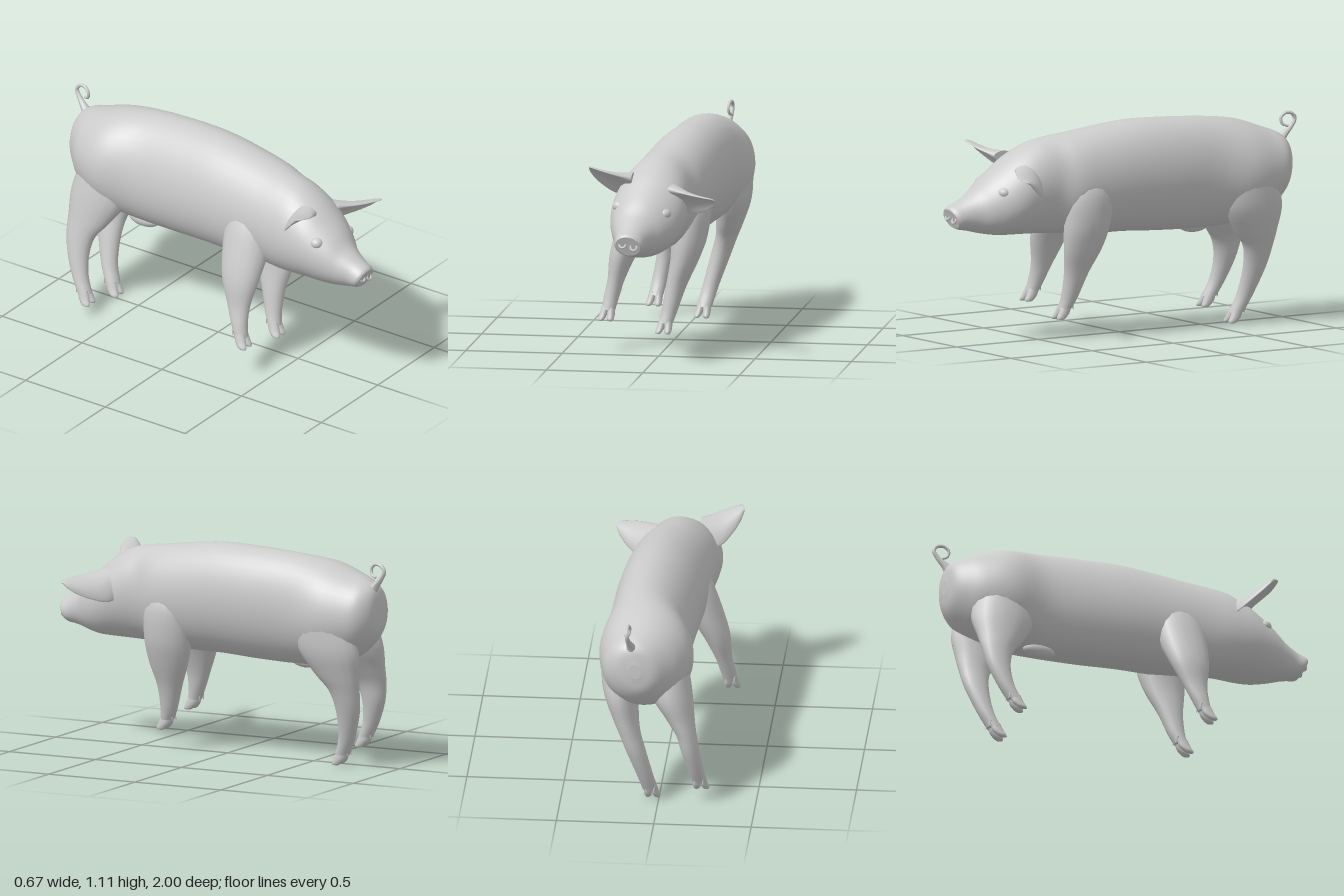
import * as THREE from 'three';

const V3 = (x, y, z) => new THREE.Vector3(x, y, z);
const material = new THREE.MeshStandardMaterial({ color: 0xcccccc });

function part(name, geometry) {
  const mesh = new THREE.Mesh(geometry, material);
  mesh.name = name;
  return mesh;
}

// Skin a list of rings (arrays of Vector3) and close both ends with flat caps
function skin(rings) {
  const n = rings[0].length, pos = [], idx = [];
  const put = p => pos.push(p.x, p.y, p.z) / 3 - 1;
  rings.forEach(r => r.forEach(put));
  for (let i = 0; i < rings.length - 1; i++) {
    for (let j = 0; j < n; j++) {
      const a = i * n + j, b = i * n + (j + 1) % n;
      idx.push(a, b, a + n, b, b + n, a + n);
    }
  }
  [rings[0], rings[rings.length - 1]].forEach((r, end) => {
    const mid = r.reduce((s, p) => s.add(p), V3(0, 0, 0)).divideScalar(n);
    const c = put(mid), first = pos.length / 3;
    r.forEach(put);
    for (let j = 0; j < n; j++) {
      const a = first + j, b = first + (j + 1) % n;
      if (end) idx.push(c, a, b); else idx.push(c, b, a);
    }
  });
  const g = new THREE.BufferGeometry();
  g.setAttribute('position', new THREE.Float32BufferAttribute(pos, 3));
  g.setIndex(idx);
  g.computeVertexNormals();
  return g;
}

// Smooth loft through sections [x, y, z, r1, r2]; point(c, r, angle) places each vertex
function loft(sections, steps, sides, point) {
  const centre = new THREE.CatmullRomCurve3(sections.map(s => V3(s[0], s[1], s[2])), false, 'catmullrom');
  const radius = new THREE.CatmullRomCurve3(sections.map(s => V3(s[3], s[4], 0)), false, 'catmullrom');
  const count = (sections.length - 1) * steps, rings = [];
  for (let i = 0; i <= count; i++) {
    const c = centre.getPoint(i / count), r = radius.getPoint(i / count);
    rings.push(Array.from({ length: sides }, (_, j) => point(c, r, j / sides * Math.PI * 2)));
  }
  return skin(rings);
}

// Trunk and head in one skin, leaning slightly towards +x
const ROLL = 0.2;
const trunk = [
  [0.1, 0.83, -0.945, 0.03, 0.04], [0.1, 0.83, -0.93, 0.1, 0.12],
  [0.1, 0.815, -0.88, 0.16, 0.175], [0.08, 0.8, -0.8, 0.205, 0.22],
  [0.065, 0.8, -0.65, 0.24, 0.27], [0.065, 0.805, -0.45, 0.205, 0.295],
  [0.055, 0.815, -0.2, 0.205, 0.3], [0.04, 0.82, 0, 0.207, 0.295],
  [0.025, 0.81, 0.2, 0.205, 0.283], [0.01, 0.805, 0.35, 0.2, 0.265],
  [-0.015, 0.8, 0.45, 0.185, 0.255], [-0.025, 0.79, 0.55, 0.188, 0.24],
  [-0.03, 0.765, 0.65, 0.19, 0.21], [-0.04, 0.735, 0.73, 0.172, 0.177],
  [-0.055, 0.71, 0.8, 0.14, 0.143], [-0.07, 0.685, 0.86, 0.105, 0.105],
  [-0.076, 0.666, 0.92, 0.08, 0.076], [-0.08, 0.658, 0.965, 0.075, 0.06],
  [-0.08, 0.655, 0.98, 0.064, 0.05],
];
function trunkPoint(c, r, a) {
  const u = r.x * Math.cos(a), v = r.y * Math.sin(a);
  const x = u * Math.cos(ROLL) + v * Math.sin(ROLL);
  const y = v * Math.cos(ROLL) - u * Math.sin(ROLL);
  const shear = 0.4 * THREE.MathUtils.smoothstep(c.z, 0.84, 0.97);
  return V3(c.x + x, c.y + y, c.z + shear * y);
}

// Legs: centre line from pastern to shoulder or hip, half-widths across x and z
const legs = {
  frontRightLeg: [
    [-0.285, 0.215, 0.345, 0.036, 0.036], [-0.272, 0.28, 0.325, 0.04, 0.046],
    [-0.25, 0.37, 0.305, 0.045, 0.066], [-0.215, 0.5, 0.29, 0.07, 0.105],
    [-0.15, 0.65, 0.28, 0.095, 0.13], [-0.09, 0.8, 0.27, 0.1, 0.13], [-0.05, 0.92, 0.26, 0.06, 0.08]],
  frontLeftLeg: [
    [0.012, 0.155, 0.345, 0.038, 0.036], [0.03, 0.22, 0.325, 0.042, 0.046],
    [0.06, 0.34, 0.305, 0.053, 0.068], [0.1, 0.47, 0.29, 0.072, 0.108],
    [0.125, 0.6, 0.28, 0.092, 0.13], [0.14, 0.76, 0.27, 0.09, 0.13], [0.13, 0.9, 0.26, 0.05, 0.08]],
  hindRightLeg: [
    [-0.208, 0.115, -0.69, 0.038, 0.038], [-0.192, 0.2, -0.73, 0.04, 0.045],
    [-0.168, 0.31, -0.758, 0.047, 0.062], [-0.145, 0.41, -0.755, 0.053, 0.085],
    [-0.11, 0.5, -0.725, 0.075, 0.125], [-0.06, 0.63, -0.69, 0.11, 0.17], [-0.02, 0.8, -0.66, 0.12, 0.16]],
  hindLeftLeg: [
    [0.042, 0.06, -0.69, 0.04, 0.038], [0.068, 0.16, -0.73, 0.042, 0.045],
    [0.11, 0.3, -0.758, 0.05, 0.065], [0.145, 0.41, -0.755, 0.056, 0.085],
    [0.17, 0.5, -0.725, 0.07, 0.125], [0.195, 0.63, -0.69, 0.09, 0.17], [0.2, 0.8, -0.66, 0.1, 0.16]],
};
const legPoint = (c, r, a) => V3(c.x + r.x * Math.sin(a), c.y, c.z + r.y * Math.cos(a));

function makeLeg(name, sections) {
  const leg = new THREE.Group();
  leg.name = name;
  leg.add(part('limb', loft(sections, 5, 18, legPoint)));
  const [x, y, z] = sections[0];
  for (const side of [-1, 1]) {
    // Cloven hoof: two toes splayed forwards and outwards
    leg.add(part('toe', loft([
      [x - 0.01 + side * 0.026, y - 0.055, z + 0.034, 0.011, 0.018],
      [x - 0.009 + side * 0.023, y - 0.045, z + 0.028, 0.018, 0.027],
      [x - 0.004 + side * 0.019, y - 0.02, z + 0.012, 0.02, 0.032],
      [x + side * 0.014, y + 0.02, z - 0.002, 0.02, 0.03]], 3, 10, legPoint)));
    const claw = part('dewclaw', new THREE.ConeGeometry(0.011, 0.04, 7));
    claw.position.set(x + side * 0.02, y + 0.012, z - 0.035);
    claw.rotation.x = Math.PI + 0.3;
    leg.add(claw);
  }
  return leg;
}

// Ears: cupped leaf shapes, thin across, opening forwards and down
function makeEar(name, base, tip, cup) {
  const along = tip.clone().sub(base);
  const wide = V3(0, 0.6, 0.8);
  const thin = along.clone().cross(wide).normalize();
  const stops = [[0, 0.085, 0.04], [0.25, 0.1, 0.026], [0.5, 0.105, 0.014],
    [0.75, 0.08, 0.009], [0.92, 0.05, 0.007], [1, 0.018, 0.004]];
  const sections = stops.map(([t, w, d]) => {
    const p = base.clone().addScaledVector(along, t).addScaledVector(wide, -0.03 * Math.sin(t * Math.PI));
    return [p.x, p.y, p.z, w, d];
  });
  return part(name, loft(sections, 4, 20, (c, r, a) => c.clone()
    .addScaledVector(wide, r.x * Math.cos(a))
    .addScaledVector(thin, r.y * Math.sin(a) + cup * r.x * Math.cos(a) ** 2)));
}

// Curly tail: tapering tube made by shrinking the rings of a TubeGeometry
function makeTail() {
  const curve = new THREE.CatmullRomCurve3([
    V3(0.12, 0.92, -0.89), V3(0.125, 0.965, -0.925), V3(0.135, 1.01, -0.965), V3(0.14, 1.05, -0.985),
    V3(0.14, 1.077, -0.965), V3(0.135, 1.08, -0.93), V3(0.13, 1.055, -0.906), V3(0.135, 1.025, -0.912),
    V3(0.145, 1.015, -0.935)]);
  const rows = 48, sides = 10;
  const g = new THREE.TubeGeometry(curve, rows, 1, sides);
  const p = g.attributes.position, v = V3(0, 0, 0);
  for (let i = 0; i < p.count; i++) {
    const t = Math.floor(i / (sides + 1)) / rows, c = curve.getPointAt(t);
    const r = 0.012 + 0.028 * Math.pow(1 - t, 5) - 0.005 * t;
    v.fromBufferAttribute(p, i).sub(c).multiplyScalar(r).add(c);
    p.setXYZ(i, v.x, v.y, v.z);
  }
  g.computeVertexNormals();
  const tail = new THREE.Group();
  tail.name = 'tail';
  const end = part('tailTip', new THREE.SphereGeometry(0.0075, 10, 8));
  end.position.copy(curve.getPoint(1));
  tail.add(part('tailCurl', g), end);
  return tail;
}

function ball(name, x, y, z, sx, sy, sz) {
  const mesh = part(name, new THREE.SphereGeometry(1, 20, 14));
  mesh.position.set(x, y, z);
  mesh.scale.set(sx, sy, sz);
  return mesh;
}

export function createModel() {
  const model = new THREE.Group();
  model.name = 'pig';
  model.add(part('bodyAndHead', loft(trunk, 4, 40, trunkPoint)));
  for (const [name, sections] of Object.entries(legs)) model.add(makeLeg(name, sections));
  model.add(makeEar('leftEar', V3(0.09, 0.88, 0.61), V3(0.335, 0.865, 0.77), 0.3));
  model.add(makeEar('rightEar', V3(-0.11, 0.93, 0.61), V3(-0.325, 1.01, 0.71), -0.3));
  model.add(makeTail());

  // Nostril rims on the snout disc
  for (const side of [-1, 1]) {
    const rim = part('nostril', new THREE.TorusGeometry(0.016, 0.006, 8, 18));
    rim.position.set(-0.08 + side * 0.029, 0.657 - side * 0.006, 0.981);
    rim.rotation.x = -0.38;
    model.add(rim);
  }

  // Brows and belly
  model.add(ball('leftBrow', 0.072, 0.79, 0.755, 0.035, 0.03, 0.035));
  model.add(ball('rightBrow', -0.165, 0.82, 0.735, 0.035, 0.03, 0.035));
  model.add(ball('bellyBump', -0.005, 0.525, -0.46, 0.04, 0.04, 0.09));
  return model;
}
